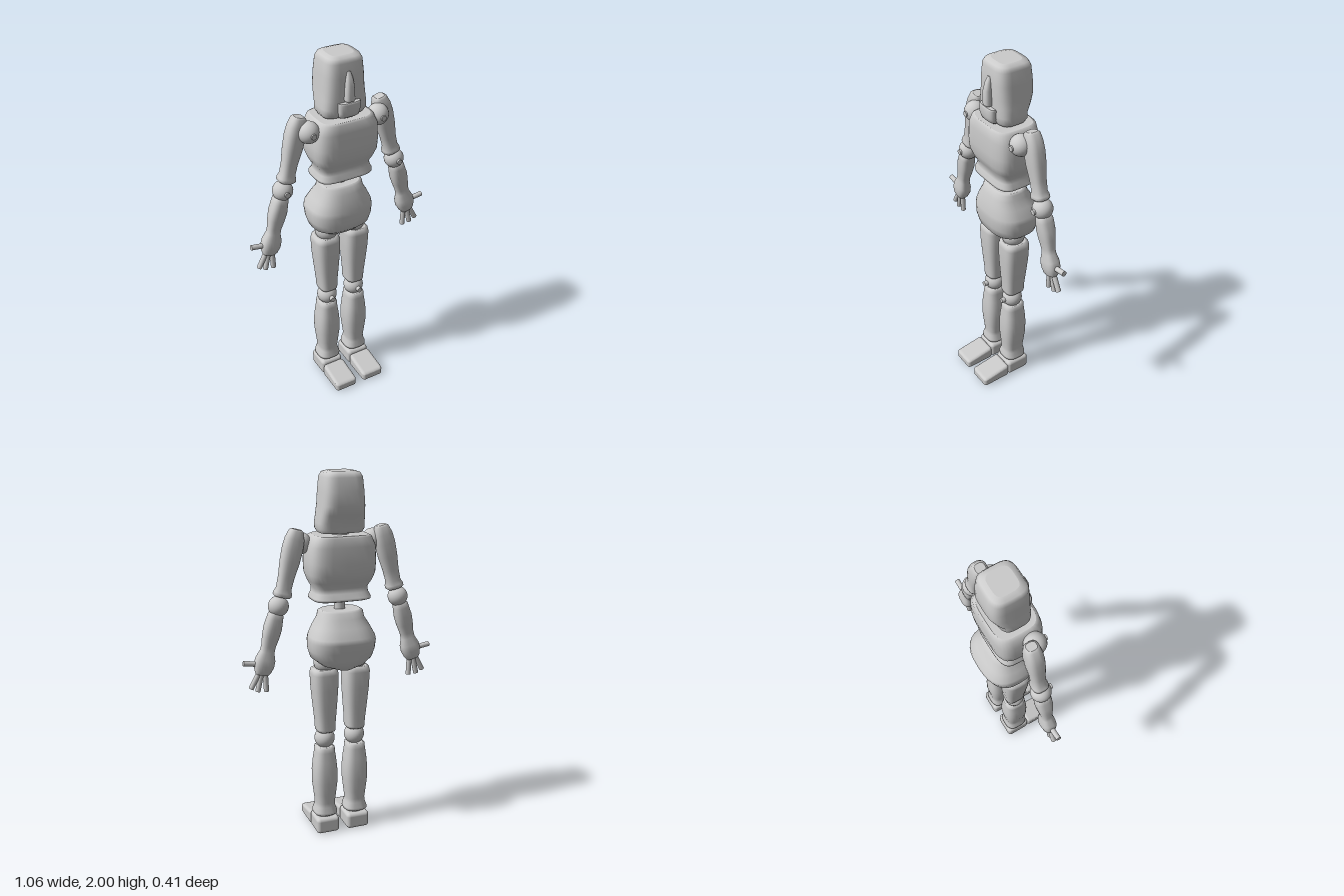
import * as THREE from 'three';
import { RoundedBoxGeometry } from 'three/addons/geometries/RoundedBoxGeometry.js';

const material = new THREE.MeshStandardMaterial({ color: 0xcccccc });

function add(parent, name, geometry, x = 0, y = 0, z = 0) {
  const mesh = new THREE.Mesh(geometry, material);
  mesh.name = name;
  mesh.position.set(x, y, z);
  parent.add(mesh);
  return mesh;
}

// Closed skin over superellipse rings, listed top to bottom: [y, halfWidth, zFront, zBack]
function loft(rings, power = 3, sides = 32) {
  const pos = [], index = [];
  const pow = (v) => Math.sign(v) * Math.abs(v) ** (2 / power);
  const ring = ([y, w, front, back]) => {
    for (let j = 0; j < sides; j++) {
      const t = (j / sides) * Math.PI * 2;
      pos.push(w * pow(Math.cos(t)), y, (front + back) / 2 + ((front - back) / 2) * pow(Math.sin(t)));
    }
  };
  rings.forEach(ring);
  for (let i = 0; i < rings.length - 1; i++) {
    for (let j = 0; j < sides; j++) {
      const k = (j + 1) % sides, a = i * sides, b = a + sides;
      index.push(a + j, a + k, b + j, a + k, b + k, b + j);
    }
  }
  // Flat end caps with their own vertices
  for (const [r, top] of [[rings[0], true], [rings[rings.length - 1], false]]) {
    const s = pos.length / 3;
    ring(r);
    pos.push(0, r[0], (r[2] + r[3]) / 2);
    for (let j = 0; j < sides; j++) {
      const k = (j + 1) % sides;
      index.push(s + sides, s + (top ? k : j), s + (top ? j : k));
    }
  }
  const g = new THREE.BufferGeometry();
  g.setAttribute('position', new THREE.Float32BufferAttribute(pos, 3));
  g.setIndex(index);
  g.computeVertexNormals();
  return g;
}

// Limb centred on its own axis: [y, halfWidth, halfDepth]
const limb = (rings, power) => loft(rings.map(([y, w, d]) => [y, w, d, -d]), power);
const ball = (r) => new THREE.SphereGeometry(r, 28, 20);

// Ball joint with a small pin facing forward
function joint(parent, name, r, x, y, z, pinEnd) {
  add(parent, name, ball(r), x, y, z);
  const pin = add(parent, name + 'Pin', new THREE.CylinderGeometry(0.015, 0.015, 0.05, 16), x, y, pinEnd - 0.025);
  pin.rotation.x = Math.PI / 2;
}

function buildHead(root) {
  const head = new THREE.Group();
  head.name = 'head';
  root.add(head);
  add(head, 'skull', loft([
    [2.0, 0.065, 0.02, -0.105], [1.992, 0.09, 0.045, -0.13], [1.97, 0.102, 0.055, -0.142],
    [1.9, 0.109, 0.06, -0.15], [1.83, 0.114, 0.06, -0.151], [1.785, 0.119, 0.06, -0.135],
    [1.74, 0.124, 0.06, -0.112], [1.71, 0.124, 0.057, -0.112], [1.69, 0.112, 0.045, -0.102],
  ], 3.8));
  add(head, 'nose', loft([
    [1.93, 0.01, 0.062, 0.03], [1.9, 0.018, 0.077, 0.03], [1.86, 0.023, 0.087, 0.03],
    [1.79, 0.027, 0.09, 0.03], [1.78, 0.024, 0.085, 0.03],
  ], 3));
  add(head, 'jaw', loft([
    [1.775, 0.06, 0.083, 0.02], [1.768, 0.061, 0.089, 0.02], [1.725, 0.059, 0.087, 0.02],
    [1.7, 0.054, 0.078, 0.02], [1.69, 0.045, 0.065, 0.02],
  ], 3.5));
  add(head, 'neck', new THREE.CylinderGeometry(0.05, 0.05, 0.08, 24), 0, 1.68, -0.03);
}

function buildTorso(root) {
  add(root, 'chest', loft([
    [1.68, 0.14, 0.083, -0.14], [1.672, 0.155, 0.096, -0.151], [1.625, 0.176, 0.103, -0.156],
    [1.54, 0.181, 0.105, -0.156], [1.48, 0.178, 0.1, -0.15], [1.44, 0.163, 0.085, -0.133],
    [1.405, 0.144, 0.067, -0.112], [1.38, 0.146, 0.069, -0.117], [1.355, 0.158, 0.08, -0.135],
    [1.343, 0.157, 0.079, -0.134], [1.338, 0.145, 0.07, -0.122],
  ], 4));
  add(root, 'spine', new THREE.CylinderGeometry(0.03, 0.03, 0.12, 24), 0, 1.31, -0.03);
  add(root, 'pelvis', loft([
    [1.285, 0.105, 0.04, -0.115], [1.277, 0.118, 0.054, -0.132], [1.245, 0.123, 0.065, -0.145],
    [1.2, 0.15, 0.08, -0.172], [1.15, 0.175, 0.088, -0.2], [1.125, 0.18, 0.09, -0.203],
    [1.075, 0.177, 0.086, -0.19], [1.03, 0.163, 0.075, -0.177], [0.995, 0.115, 0.04, -0.168],
    [0.97, 0.04, 0.0, -0.14],
  ], 2.7));
}

function buildArm(root, s, side) {
  const arm = new THREE.Group();
  arm.name = side + 'Arm';
  root.add(arm);
  joint(arm, 'shoulder', 0.057, s * 0.2, 1.635, 0.01, 0.072);

  const upper = add(arm, 'upperArm', limb([
    [0, 0.025, 0.026], [-0.008, 0.036, 0.037], [-0.05, 0.049, 0.043], [-0.1, 0.053, 0.046],
    [-0.17, 0.05, 0.044], [-0.25, 0.041, 0.037], [-0.31, 0.039, 0.036], [-0.33, 0.047, 0.042],
    [-0.345, 0.048, 0.043], [-0.353, 0.04, 0.036],
  ], 2.8), s * 0.23, 1.713, -0.03);
  upper.rotation.z = s * 0.245;

  joint(arm, 'elbow', 0.054, s * 0.335, 1.323, -0.03, 0.032);

  const forearm = add(arm, 'forearmAndHand', limb([
    [0, 0.032, 0.034], [-0.008, 0.039, 0.041], [-0.03, 0.041, 0.043], [-0.08, 0.047, 0.043],
    [-0.13, 0.044, 0.037], [-0.18, 0.037, 0.03], [-0.21, 0.038, 0.031], [-0.25, 0.052, 0.039],
    [-0.285, 0.053, 0.041], [-0.32, 0.043, 0.034], [-0.335, 0.034, 0.025],
  ], 2.8), s * 0.348, 1.288, -0.03);
  forearm.rotation.z = s * 0.255;

  // Three fingers and a thumb: base x, base y, tip x, tip y
  const digits = [[0.415, 0.99, 0.41, 0.868], [0.43, 0.99, 0.457, 0.872], [0.445, 0.98, 0.493, 0.89], [0.44, 1.02, 0.53, 1.034]];
  digits.forEach(([x0, y0, x1, y1], i) => {
    const dx = s * (x1 - x0), dy = y1 - y0;
    const digit = add(arm, i < 3 ? 'finger' : 'thumb',
      new THREE.CylinderGeometry(0.014, 0.014, Math.hypot(dx, dy), 16),
      s * (x0 + x1) / 2, (y0 + y1) / 2, -0.03);
    digit.rotation.z = Math.atan2(-dx, dy);
  });
}

function buildLeg(root, s, side) {
  const leg = new THREE.Group();
  leg.name = side + 'Leg';
  root.add(leg);
  add(leg, 'hip', ball(0.064), s * 0.083, 1.0, -0.035);

  const thigh = add(leg, 'thigh', limb([
    [0, 0.054, 0.058], [-0.008, 0.067, 0.07], [-0.03, 0.072, 0.075], [-0.12, 0.069, 0.073],
    [-0.22, 0.061, 0.066], [-0.31, 0.053, 0.059], [-0.345, 0.052, 0.059], [-0.358, 0.05, 0.057],
    [-0.365, 0.04, 0.046],
  ], 3.2), s * 0.091, 0.967, -0.035);
  thigh.rotation.z = s * -0.017;

  joint(leg, 'knee', 0.056, s * 0.087, 0.558, -0.03, 0.045);

  add(leg, 'shin', limb([
    [0.515, 0.04, 0.047], [0.508, 0.052, 0.059], [0.485, 0.053, 0.06], [0.43, 0.061, 0.066],
    [0.37, 0.067, 0.07], [0.3, 0.067, 0.07], [0.23, 0.059, 0.064], [0.18, 0.053, 0.059],
    [0.155, 0.054, 0.06], [0.125, 0.065, 0.068], [0.112, 0.066, 0.068], [0.104, 0.055, 0.058],
  ], 2.9), s * 0.089, 0, -0.033);

  // Foot: heel block and a toe wedge that slopes down forward
  add(leg, 'ankle', ball(0.045), s * 0.089, 0.09, -0.035);
  add(leg, 'heel', new RoundedBoxGeometry(0.132, 0.092, 0.14, 4, 0.02), s * 0.089, 0.049, -0.035);
  const toe = new RoundedBoxGeometry(0.132, 0.08, 0.172, 4, 0.018);
  const p = toe.attributes.position;
  for (let i = 0; i < p.count; i++) {
    const t = p.getZ(i) / 0.172 + 0.5;
    p.setY(i, (p.getY(i) + 0.04) * (1 - 0.36 * t));
  }
  toe.computeVertexNormals();
  add(leg, 'toe', toe, s * 0.089, 0.003, 0.119);
}

export function createModel() {
  const root = new THREE.Group();
  root.name = 'jointedMannequin';
  buildHead(root);
  buildTorso(root);
  for (const [s, side] of [[1, 'left'], [-1, 'right']]) {
    buildArm(root, s, side);
    buildLeg(root, s, side);
  }
  return root;
}
